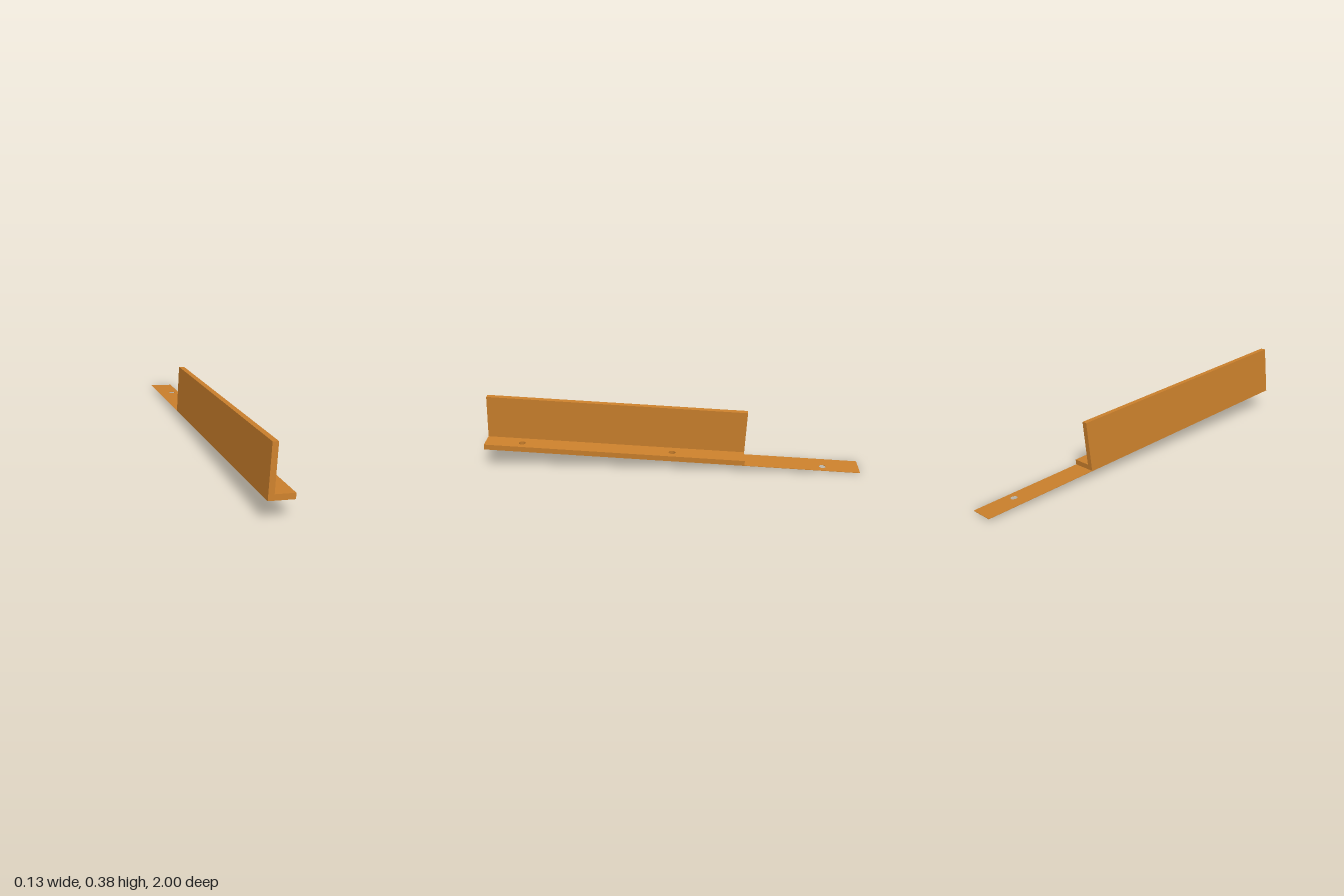
import * as THREE from 'three';

export function createModel() {
  const bronze = new THREE.MeshStandardMaterial({ color: 0xcb802c });
  bronze.name = 'bronze';

  const width = 0.129, half = 1.001, step = -0.388;
  const thick = 0.029, sheet = 0.002, wallHeight = 0.262;
  const holeX = 0.083, holeR = 0.018, pitch = 0.806;

  const model = new THREE.Group();
  model.name = 'angleBracket';

  // The whole bracket leans: front end raised, rolled toward +x
  const bracket = new THREE.Group();
  bracket.name = 'tiltedBracket';
  bracket.rotation.set(THREE.MathUtils.degToRad(-3), 0, THREE.MathUtils.degToRad(-4.4));
  bracket.position.set(-0.0655, 0.0623, 0);
  model.add(bracket);

  const add = (name, geometry) => {
    const mesh = new THREE.Mesh(geometry, bronze);
    mesh.name = name;
    bracket.add(mesh);
  };

  // Flat plate from z0 to z1 with round screw holes
  const plate = (z0, z1, height, holes) => {
    const shape = new THREE.Shape();
    shape.moveTo(0, -z1);
    shape.lineTo(width, -z1);
    shape.lineTo(width, -z0);
    shape.lineTo(0, -z0);
    shape.closePath();
    for (const z of holes) {
      const hole = new THREE.Path();
      hole.absarc(holeX, -z, holeR, 0, Math.PI * 2, true);
      shape.holes.push(hole);
    }
    return new THREE.ExtrudeGeometry(shape, {
      depth: height, bevelEnabled: false, curveSegments: 32,
    }).rotateX(-Math.PI / 2);
  };

  // Thick floor of the L section and the thin tail behind it
  add('floor', plate(step, half, thick, [0, pitch]));
  add('thinTail', plate(-half, step, sheet, [-pitch]));

  // Upright wall along the -x edge
  const rise = wallHeight - thick;
  add('wall', new THREE.BoxGeometry(thick, rise, half - step)
    .translate(thick / 2, thick + rise / 2, (half + step) / 2));

  return model;
}
